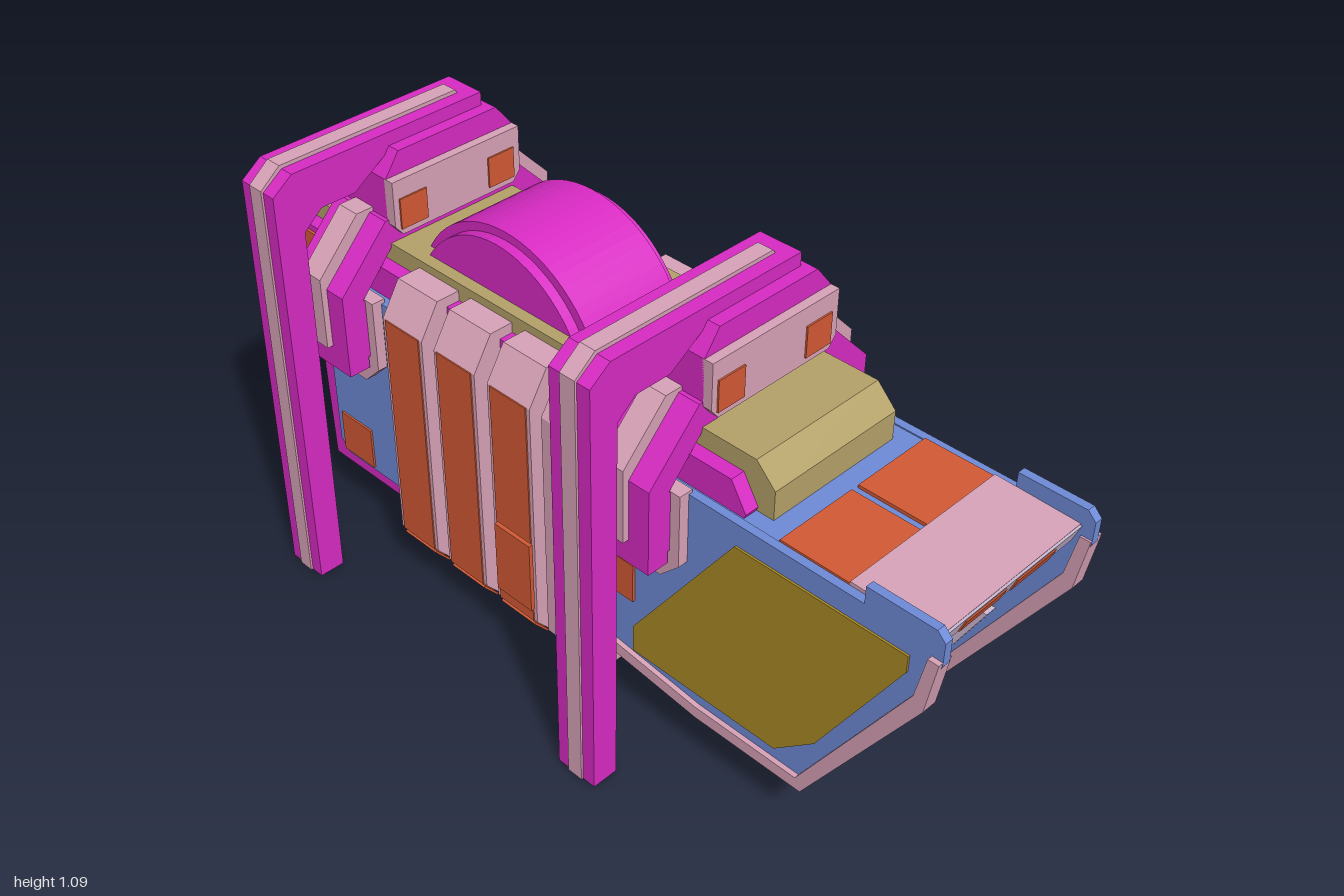
import * as THREE from 'three';

const MID = 0.03; // mirror plane of the body
const mat = (color) => new THREE.MeshStandardMaterial({ color, flatShading: true, side: THREE.DoubleSide });

export function createModel() {
  const root = new THREE.Group();
  const magenta = mat(0xd92bc4), pink = mat(0xd9a3b8), tan = mat(0xb5a26a), gold = mat(0xa98a25);
  const orange = mat(0xd45a35), blue = mat(0x6f8bd9), lavender = mat(0xd0bcd6);

  const add = (name, geo, m, parent = root) => {
    const mesh = new THREE.Mesh(geo, m);
    mesh.name = name;
    parent.add(mesh);
    return mesh;
  };
  const extrude = (pts, depth) => new THREE.ExtrudeGeometry(
    new THREE.Shape(pts.map(([a, b]) => new THREE.Vector2(a, b))), { depth, bevelEnabled: false });
  // profile of [z, y] points, spanning x0..x1
  const side = (name, pts, x0, x1, m, parent) =>
    add(name, extrude(pts, x1 - x0).rotateY(-Math.PI / 2).translate(x1, 0, 0), m, parent);
  // profile of [x, y] points, spanning z0..z1
  const front = (name, pts, z0, z1, m, parent) =>
    add(name, extrude(pts, z1 - z0).translate(0, 0, z0), m, parent);
  const box = (name, x0, x1, y0, y1, z0, z1, m, parent) =>
    add(name, new THREE.BoxGeometry(x1 - x0, y1 - y0, z1 - z0)
      .translate((x0 + x1) / 2, (y0 + y1) / 2, (z0 + z1) / 2), m, parent);
  const flip = (x) => 2 * MID - x;
  const sidePair = (name, pts, x0, x1, m, m2 = m) => {
    side(name + 'Left', pts, x0, x1, m);
    side(name + 'Right', pts, flip(x1), flip(x0), m2);
  };
  const boxPair = (name, x0, x1, y0, y1, z0, z1, m) => {
    box(name + 'Left', x0, x1, y0, y1, z0, z1, m);
    box(name + 'Right', flip(x1), flip(x0), y0, y1, z0, z1, m);
  };

  // Central hull and its side skins
  side('hull', [[0.33, 0.15], [0.28, 0.1], [-0.87, 0.1], [-0.88, 0.43], [-1, 0.55], [-1, 0.8],
    [-0.97, 0.83], [0.5, 0.83], [0.55, 0.78], [0.55, 0.7], [0.33, 0.6]], -0.15, 0.21, tan);
  sidePair('hullSkin', [[0.28, 0.13], [-0.83, 0.13], [-0.84, 0.42], [-0.97, 0.55], [-0.97, 0.75],
    [-0.94, 0.785], [0.47, 0.785], [0.51, 0.72]], 0.21, 0.245, pink, magenta);
  sidePair('rearSidePanel', [[0.02, 0.19], [-0.74, 0.19], [-0.77, 0.22], [-0.77, 0.71], [0.02, 0.71]],
    0.24, 0.27, blue);
  boxPair('rearSideVent', 0.24, 0.252, 0.52, 0.77, -0.92, -0.8, orange);
  boxPair('smallSidePanelRear', 0.265, 0.275, 0.2, 0.31, -0.75, -0.64, orange);
  boxPair('smallSidePanelFront', 0.265, 0.277, 0.34, 0.44, 0.17, 0.24, orange);

  // Rear panels and slatted vent
  boxPair('rearLowerPanel', 0.04, 0.18, 0.14, 0.4, -0.885, -0.86, orange);
  box('rearVent', -0.1, 0.16, 0.58, 0.75, -1.0, -0.97, orange);
  for (let i = 0; i < 5; i++) box('rearVentSlat', -0.1, 0.16, 0.59 + i * 0.034, 0.605 + i * 0.034, -1.002, -0.98, orange);

  // Front cab: body, top and sloped face
  side('cabBody', [[0.3, 0.2], [0.67, 0.2], [0.935, 0.665], [0.955, 0.71], [0.15, 0.71], [0.15, 0.2]],
    -0.2, 0.26, blue);
  const slope = [[0.64, 0.2], [0.68, 0.2], [0.945, 0.663], [0.905, 0.663]];
  side('cabFace', slope, -0.19, 0.25, gold);
  side('cabLip', [[0.77, 0.705], [0.77, 0.722], [0.97, 0.716], [0.952, 0.665], [0.9, 0.665]], -0.19, 0.25, pink);
  side('cabBrow', [[0.94, 0.667], [0.957, 0.667], [0.975, 0.714], [0.96, 0.714]], -0.188, 0.248, lavender);
  boxPair('cabTopPanel', 0.04, 0.25, 0.7, 0.718, 0.6, 0.77, orange);
  for (const x of [-0.11, 0.045])
    side('browLight', [[0.94, 0.672], [0.962, 0.672], [0.975, 0.705], [0.95, 0.705]], x, x + 0.122, orange);
  box('cabSill', -0.19, 0.25, 0.16, 0.21, 0.3, 0.66, pink);
  for (const x of [-0.145, -0.068, 0.055, 0.136])
    side('chinPanel', [[0.29, 0.105], [0.3, 0.105], [0.345, 0.158], [0.32, 0.158]], x, x + 0.073, orange);

  // Cab cheeks: blue frame, gold inset and pink lower rail
  sidePair('cheek', [[0.15, 0.2], [0.43, 0.155], [0.71, 0.16], [0.96, 0.58], [1, 0.68], [1, 0.735],
    [0.98, 0.755], [0.82, 0.755], [0.82, 0.713], [0.15, 0.713]], 0.25, 0.27, blue);
  sidePair('cheekPanel', [[0.93, 0.66], [0.51, 0.66], [0.24, 0.27], [0.24, 0.2], [0.64, 0.2], [0.74, 0.29],
    [0.93, 0.62]], 0.265, 0.275, gold);
  sidePair('cheekRail', [[0.16, 0.17], [0.43, 0.14], [0.72, 0.14], [0.98, 0.56], [1, 0.69], [0.975, 0.69],
    [0.955, 0.585], [0.705, 0.17], [0.43, 0.17], [0.16, 0.2]], 0.245, 0.282, pink);
  sidePair('faceTrim', [[0.69, 0.21], [0.72, 0.21], [0.82, 0.4], [0.79, 0.4]], 0.22, 0.25, lavender);

  // Ribs wrapped round each flank
  const rib = [[0.1, 0.08], [0.27, 0.08], [0.32, 0.14], [0.32, 0.73], [0.27, 0.81], [0.2, 0.81], [0.2, 0.11], [0.1, 0.11]];
  [0.085, -0.08, -0.25, -0.42].forEach((z, i) => {
    front('ribLeft', rib, z - 0.065, z + 0.065, pink);
    front('ribRight', rib.map(([x, y]) => [flip(x), y]), z - 0.065, z + 0.065, pink);
    const [y0, y1, w] = i ? [0.14, 0.73, 0.055] : [0.36, 0.73, 0.035];
    boxPair('ribPanel', 0.31, 0.323, y0, y1, z - w, z + w, orange);
    if (i) {
      const bevel = [[0.278, 0.084], [0.316, 0.13], [0.32, 0.127], [0.282, 0.081]];
      front('ribBevelLeft', bevel, z - w, z + w, orange);
      front('ribBevelRight', bevel.map(([x, y]) => [flip(x), y]), z - w, z + w, orange);
    }
    for (const x of [0.11, 0.19]) boxPair('ribFootPanel', x, x + 0.065, 0.077, 0.09, z - 0.045, z + 0.045, orange);
  });

  // Round drum set in the top
  const drum = [];
  for (let i = 0; i <= 24; i++) {
    const a = Math.PI * (0.15 + 0.7 * i / 24);
    drum.push([-0.26 + 0.288 * Math.cos(a), 0.687 + 0.288 * Math.sin(a)]);
  }
  side('drum', drum, -0.095, 0.155, magenta);
  side('drumCore', drum.map(([z, y]) => [-0.26 + (z + 0.26) * 0.94, y - 0.02]), -0.12, 0.18, magenta);

  // Two clamps, each with a hanging arm
  const arch = (o, i) => [...o, ...o.map(([x, y]) => [flip(x), y]).reverse(),
    ...i.map(([x, y]) => [flip(x), y]), ...[...i].reverse()];
  const clamp = (z) => {
    const g = new THREE.Group();
    g.name = z > 0 ? 'frontClamp' : 'rearClamp';
    g.position.z = z;
    root.add(g);
    front('clampArch', arch([[0.355, 0.54], [0.355, 0.75], [0.22, 0.89]], [[0.3, 0.54], [0.3, 0.72], [0.2, 0.83]]),
      -0.085, 0.085, magenta, g);
    front('archStrip', arch([[0.37, 0.6], [0.37, 0.78], [0.255, 0.9]], [[0.34, 0.6], [0.34, 0.75], [0.23, 0.87]]),
      -0.03, 0.03, pink, g);
    const tip = [[-0.085, 0.57], [-0.05, 0.53], [0.05, 0.53], [0.085, 0.57], [0.085, 0.72], [-0.085, 0.72]];
    const pad = [[-0.11, 0.54], [-0.06, 0.49], [0.06, 0.49], [0.11, 0.54], [0.11, 0.72], [-0.11, 0.72]];
    for (const s of [1, -1]) {
      const span = (a, b) => s > 0 ? [a, b] : [flip(b), flip(a)];
      side('clampTip', tip, ...span(0.285, 0.345), magenta, g);
      side('clampPad', pad, ...span(0.26, 0.295), pink, g);
    }
    // Head block with face plates
    front('head', [[-0.15, 0.88], [-0.13, 0.855], [0.195, 0.855], [0.215, 0.88], [0.215, 0.99], [0.17, 1.045],
      [-0.11, 1.045], [-0.15, 0.99]], -0.085, 0.085, magenta, g);
    for (const s of [1, -1]) {
      const z0 = s > 0 ? 0.08 : -0.107;
      front('headPlate', [[-0.15, 0.88], [-0.13, 0.855], [0.195, 0.855], [0.215, 0.88], [0.215, 0.99], [-0.15, 0.99]],
        z0, z0 + 0.027, pink, g);
      for (const x of [-0.135, 0.12])
        box('headLight', x, x + 0.075, 0.87, 0.945, s * 0.105 - 0.006, s * 0.105 + 0.006, orange, g);
    }
    // Arm reaching over and down the right side
    front('arm', [[-0.42, 0], [-0.355, 0], [-0.348, 0.93], [-0.3, 0.97], [-0.21, 0.97], [-0.11, 1.035], [0.155, 1.035],
      [0.155, 1.077], [-0.365, 1.077], [-0.417, 1.04]], -0.054, 0.054, magenta, g);
    front('armStrip', [[-0.425, 0], [-0.41, 0], [-0.41, 1.035], [-0.36, 1.07], [0.12, 1.07], [0.11, 1.086],
      [-0.37, 1.086], [-0.422, 1.045]], -0.02, 0.02, pink, g);
  };
  clamp(0.275);
  clamp(-0.665);

  // Angled shield standing off the left flank
  const shield = new THREE.Group();
  shield.name = 'shield';
  shield.position.set(0.335, 0, 0.02);
  shield.rotation.y = -0.09;
  root.add(shield);
  side('shieldPlate', [[0, 0.2], [0, 0.44], [-0.32, 0.712], [-0.82, 0.712], [-0.845, 0.69], [-0.845, 0.6], [-0.53, 0.2]],
    -0.012, 0.012, magenta, shield);
  box('shieldPanel', -0.015, 0.015, 0.215, 0.4, -0.12, -0.01, orange, shield);
  box('flankPanelRight', -0.298, -0.288, 0.215, 0.4, -0.1, 0.01, orange);

  return root;
}
